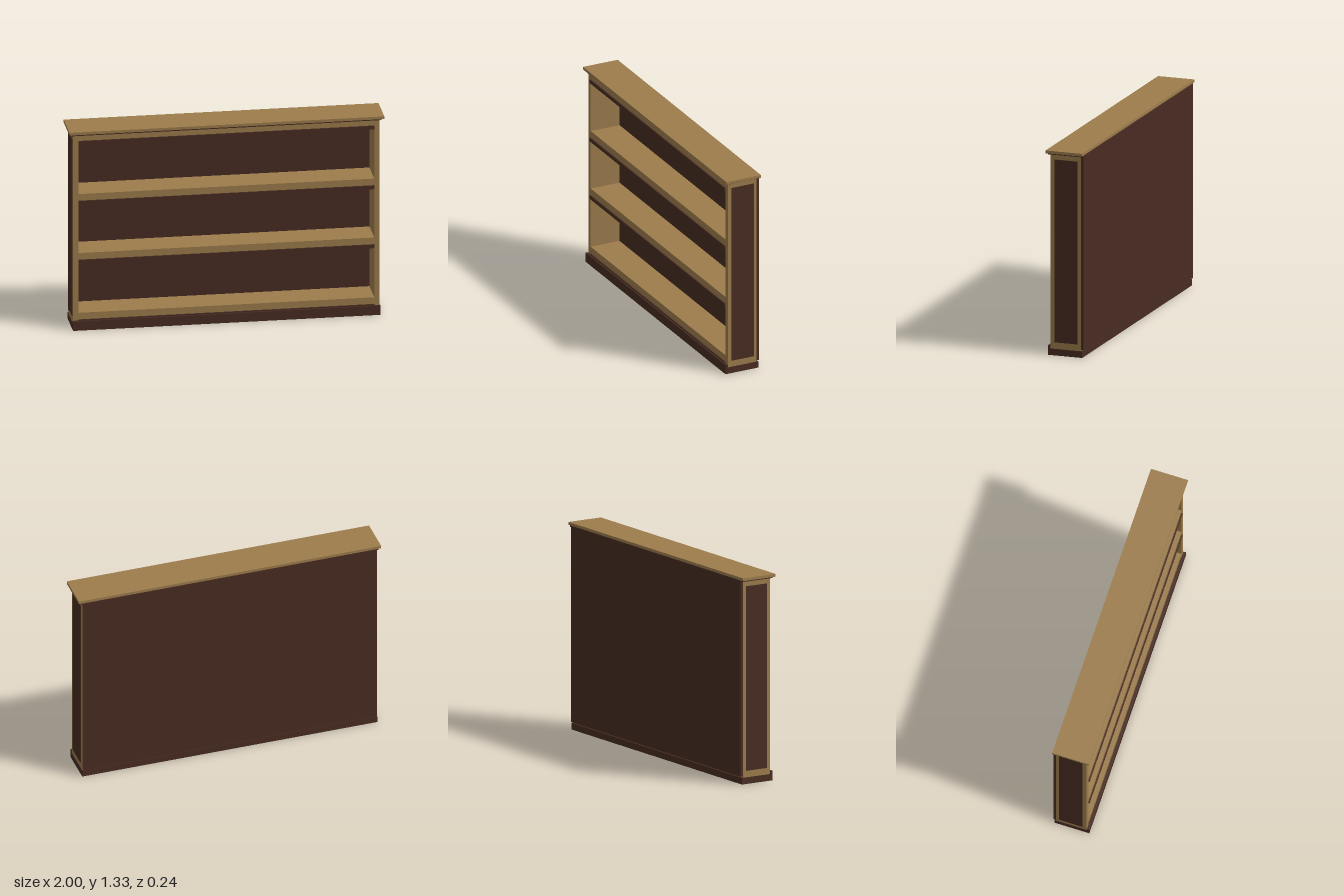
import * as THREE from 'three';

const lightWood = new THREE.MeshStandardMaterial({ color: 0x9c7c4c });
lightWood.name = 'lightWood';
const darkWood = new THREE.MeshStandardMaterial({ color: 0x482c22 });
darkWood.name = 'darkWood';

export function createModel() {
  const group = new THREE.Group();
  group.name = 'bookcase';

  // Box given by its extents along each axis
  const board = (name, material, [x0, x1], [y0, y1], [z0, z1]) => {
    const mesh = new THREE.Mesh(new THREE.BoxGeometry(x1 - x0, y1 - y0, z1 - z0), material);
    mesh.position.set((x0 + x1) / 2, (y0 + y1) / 2, (z0 + z1) / 2);
    mesh.name = name;
    group.add(mesh);
  };
  const inner = [-0.94, 0.94];

  // Plinth with a taller front skirting
  board('plinth', darkWood, [-0.976, 0.976], [0, 0.042], [-0.115, 0.105]);
  board('frontSkirting', darkWood, [-0.976, 0.976], [0, 0.062], [0.1, 0.116]);

  // Back panel
  board('backPanel', darkWood, [-0.972, 0.972], [0.05, 1.308], [-0.122, -0.105]);

  // Uprights, each with a thin panel on the outside
  for (const [side, s] of [['left', 1], ['right', -1]]) {
    const span = (a, b) => (s > 0 ? [a, b] : [-b, -a]);
    board(side + 'Upright', lightWood, span(0.94, 0.973), [0.042, 1.302], [-0.105, 0.098]);
    board(side + 'SidePanel', darkWood, span(0.972, 0.978), [0.085, 1.27], [-0.084, 0.071]);
  }

  // Shelves and top rail board, each with a dark trim strip under the front edge
  for (const [name, top] of [['bottomShelf', 0.113], ['middleShelf', 0.513], ['upperShelf', 0.908], ['ceilingBoard', 1.302]]) {
    const low = top - (name === 'ceilingBoard' ? 0.038 : 0.044);
    board(name, lightWood, inner, [low, top], [-0.105, 0.098]);
    board(name + 'Trim', darkWood, inner, [low - 0.024, low], [0.086, 0.106]);
  }

  // Cornice moulding and overhanging top
  board('cornice', darkWood, [-0.982, 0.982], [1.302, 1.312], [-0.12, 0.112]);
  board('topBoard', lightWood, [-1, 1], [1.312, 1.33], [-0.122, 0.122]);

  return group;
}
